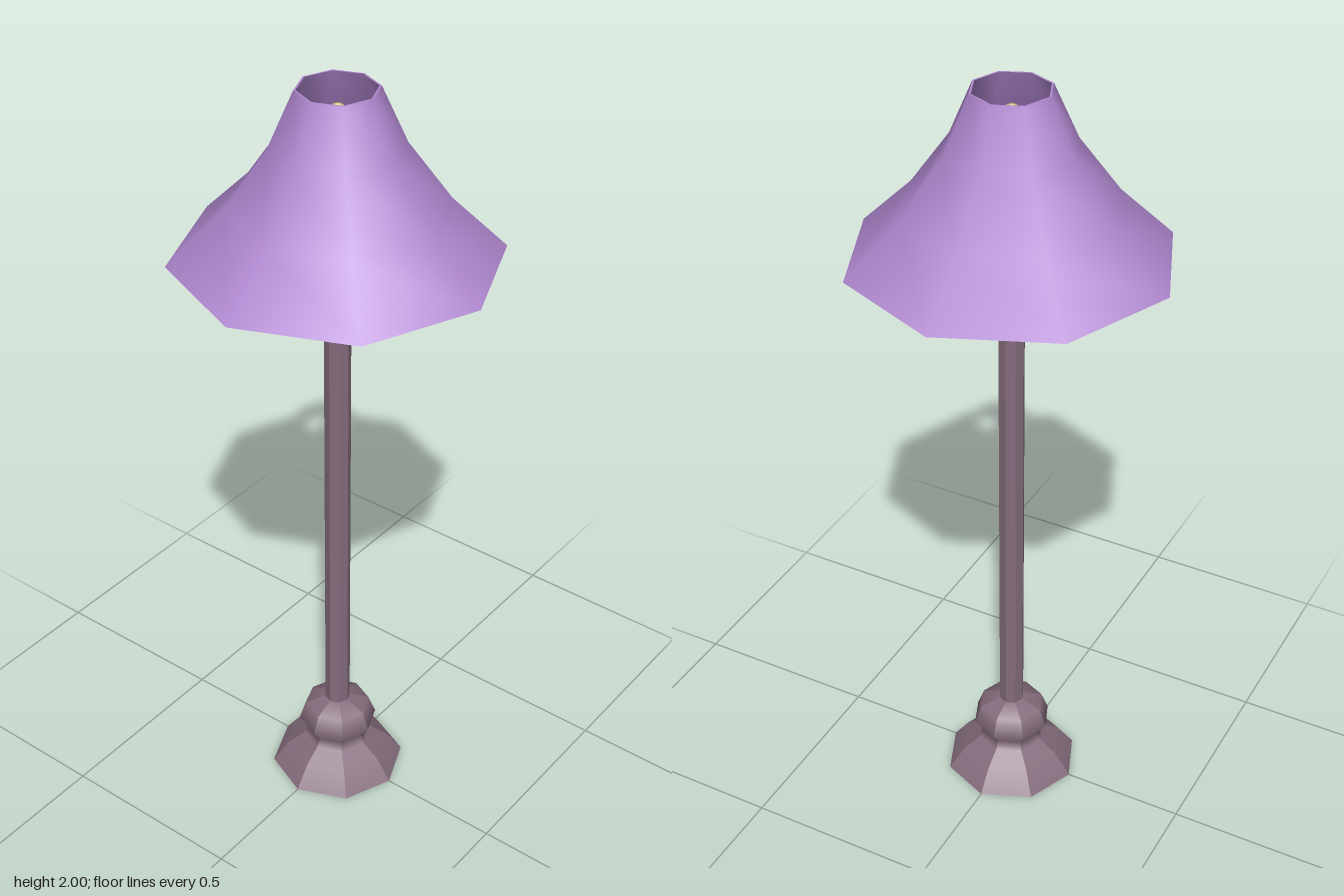
import * as THREE from 'three';
import { mergeGeometries } from 'three/addons/utils/BufferGeometryUtils.js';

const SIDES = 8;
const points = (list) => list.map(([r, y]) => new THREE.Vector2(r, y));

// Octagonal turning: flat from side to side, smooth along the profile
function facetedTurning(profile) {
  const step = (Math.PI * 2) / SIDES;
  const strips = [];
  for (let s = 0; s < SIDES; s++) {
    const strip = new THREE.LatheGeometry(points(profile), 1, s * step, step);
    const mid = (s + 0.5) * step;
    const n = strip.attributes.normal;
    for (let i = 0; i < n.count; i++) {
      const out = n.getX(i) * Math.sin(mid) + n.getZ(i) * Math.cos(mid);
      const v = new THREE.Vector3(Math.sin(mid) * out, n.getY(i), Math.cos(mid) * out).normalize();
      n.setXYZ(i, v.x, v.y, v.z);
    }
    strips.push(strip);
  }
  return mergeGeometries(strips);
}

export function createModel() {
  const material = (name, color) => {
    const m = new THREE.MeshStandardMaterial({ color });
    m.name = name;
    return m;
  };
  const purple = material('shade purple', 0xb088d0);
  const brown = material('dark metal', 0x846c7c);
  const yellow = material('bulb yellow', 0xdcd68c);
  const grey = material('underside grey', 0xa8a8a8);

  const lamp = new THREE.Group();
  lamp.name = 'floorLamp';
  const add = (name, geometry, mat, parent = lamp) => {
    const mesh = new THREE.Mesh(geometry, mat);
    mesh.name = name;
    parent.add(mesh);
    return mesh;
  };

  // Base with its flat underside
  add('base', facetedTurning([
    [0.178, 0], [0.135, 0.06], [0.09, 0.092], [0.08, 0.115],
    [0.104, 0.15], [0.085, 0.2], [0.03, 0.22],
  ]), brown);
  const underside = add('baseUnderside', new THREE.CircleGeometry(0.178, SIDES), grey);
  underside.rotation.x = Math.PI / 2;

  // Pole and bulb
  add('pole', facetedTurning([[0.033, 0.21], [0.033, 1.82]]), brown);
  const poleCap = add('poleCap', new THREE.CircleGeometry(0.033, SIDES), brown);
  poleCap.rotation.x = -Math.PI / 2;
  poleCap.position.y = 1.82;
  add('bulb', facetedTurning([
    [0.02, 1.82], [0.031, 1.87], [0.028, 1.925], [0.013, 1.96], [0, 1.964],
  ]), yellow);

  // Shade: smooth outer and inner skins joined by two flat rims
  const shade = new THREE.Group();
  shade.name = 'shade';
  lamp.add(shade);
  const outer = [[0.4, 1.58], [0.265, 1.714], [0.16, 1.86], [0.098, 2]];
  const inner = [[0.093, 2], [0.15, 1.855], [0.25, 1.706], [0.38, 1.58]];
  const skins = {
    shadeOuter: outer,
    shadeTopRim: [outer[3], inner[0]],
    shadeInner: inner,
    shadeBottomRim: [inner[3], outer[0]],
  };
  for (const [name, profile] of Object.entries(skins)) {
    add(name, new THREE.LatheGeometry(points(profile), SIDES), purple, shade);
  }
  return lamp;
}
